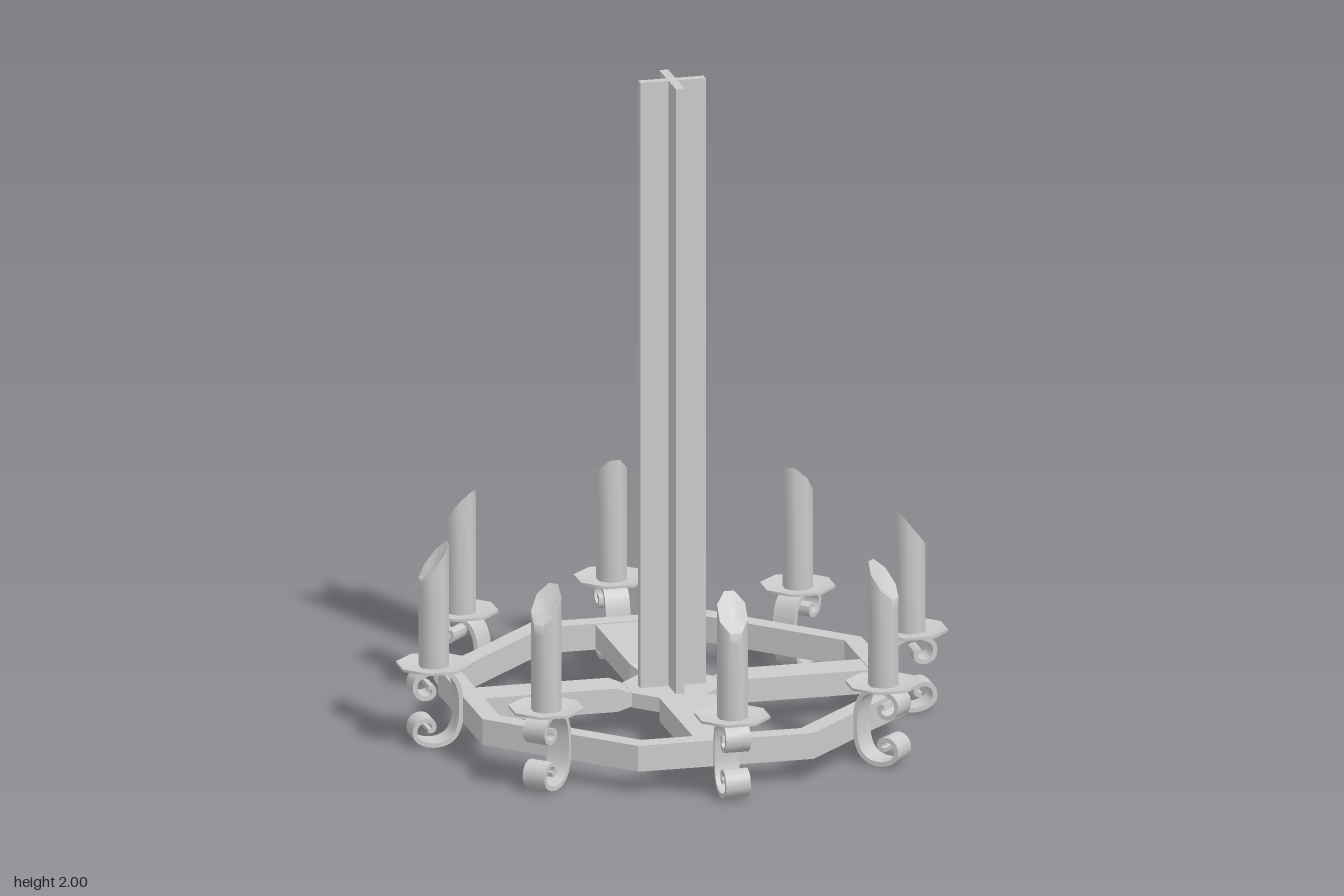
import * as THREE from 'three';
import { toCreasedNormals } from 'three/addons/utils/BufferGeometryUtils.js';

const smooth = new THREE.MeshStandardMaterial({ color: 0xcccccc, side: THREE.DoubleSide });
const flat = new THREE.MeshStandardMaterial({ color: 0xcccccc, flatShading: true });
const STEP = Math.PI / 4;

function add(parent, name, geometry, material = flat) {
  const mesh = new THREE.Mesh(geometry, material);
  mesh.name = name;
  parent.add(mesh);
  return mesh;
}

function octagon(radius) {
  return Array.from({ length: 8 }, (_, i) =>
    new THREE.Vector2(radius * Math.cos(i * STEP), radius * Math.sin(i * STEP)));
}

// Octagonal wheel rim, lying flat
function rimGeometry() {
  const shape = new THREE.Shape(octagon(0.7));
  shape.holes.push(new THREE.Path(octagon(0.637)));
  return new THREE.ExtrudeGeometry(shape, { depth: 0.08, bevelEnabled: false })
    .rotateX(-Math.PI / 2).translate(0, 0.07, 0);
}

// Spoke along +x that narrows and thins where it meets the hub
function spokeGeometry(width) {
  const sections = [ // radius, width, bottom, top
    [0.135, 0.11, 0.088, 0.128],
    [0.18, width, 0.075, 0.147],
    [0.6, width, 0.075, 0.147],
  ];
  const geometry = new THREE.BoxGeometry(2, 1, 1, 2, 1, 1);
  const p = geometry.attributes.position;
  for (let i = 0; i < p.count; i++) {
    const [r, w, low, high] = sections[Math.round(p.getX(i)) + 1];
    p.setXYZ(i, r, p.getY(i) > 0 ? high : low, p.getZ(i) * w);
  }
  return geometry;
}

// Iron strap bent into a C with a curl at each end, seen in the radius/height plane
function scrollGeometry() {
  const mid = 0.119, half = 0.007, width = 0.075;
  const upper = [
    [0.652, 0], [0.656, 0.05], [0.673, 0.09], [0.71, 0.111], [0.76, 0.108],
    [0.791, 0.085], [0.789, 0.05], [0.765, 0.034], [0.738, 0.042], [0.737, 0.064], [0.753, 0.067],
  ];
  const lower = upper.slice(1).reverse().map(([r, y]) => [r, -y]);
  const curve = new THREE.CatmullRomCurve3(
    [...lower, ...upper].map(([r, y]) => new THREE.Vector3(r, y + mid, 0)));
  const left = [], right = [], n = 56;
  for (let i = 0; i <= n; i++) {
    const c = curve.getPoint(i / n), t = curve.getTangent(i / n);
    left.push(new THREE.Vector2(c.x - t.y * half, c.y + t.x * half));
    right.push(new THREE.Vector2(c.x + t.y * half, c.y - t.x * half));
  }
  const shape = new THREE.Shape([...left, ...right.reverse()]);
  const geometry = new THREE.ExtrudeGeometry(shape, { depth: width, bevelEnabled: false });
  return toCreasedNormals(geometry.translate(0, 0, -width / 2), 0.7);
}

// Shallow eight-sided drip pan
function panGeometry() {
  const profile = [[0, 0.232], [0.07, 0.232], [0.113, 0.243], [0.113, 0.251], [0.075, 0.243], [0, 0.243]]
    .map(([r, y]) => new THREE.Vector2(r, y));
  return toCreasedNormals(new THREE.LatheGeometry(profile, 8, STEP / 2), 0.8);
}

// Candle whose melted top slopes up to a peak on the inner (-x) side
function candleGeometry() {
  const profile = [[0.046, 0.238], [0.046, 0.48], [0.046, 0.57], [0.022, 0.57], [0, 0.57]]
    .map(([r, y]) => new THREE.Vector2(r, y));
  const geometry = new THREE.LatheGeometry(profile, 8, STEP / 2);
  const p = geometry.attributes.position;
  for (let i = 0; i < p.count; i++) {
    if (p.getY(i) < 0.5) continue;
    const x = p.getX(i), z = p.getZ(i), r = Math.hypot(x, z);
    const slope = 0.567 - (x / 0.046) * 0.058;
    const dish = 0.018 * (1 - r / 0.046);
    p.setXYZ(i, x, slope - dish, x < -0.03 ? z * 0.85 : z);
  }
  return toCreasedNormals(geometry, 0.85);
}

export function createModel() {
  const model = new THREE.Group();
  model.name = 'chandelier';

  // Wheel
  add(model, 'rim', rimGeometry());
  add(model, 'hub', new THREE.CylinderGeometry(0.148, 0.148, 0.045, 8)
    .rotateY(Math.PI / 2).translate(0, 0.1075, 0));
  for (let i = 0; i < 4; i++) {
    const spoke = add(model, 'spoke', spokeGeometry(i % 2 ? 0.168 : 0.115));
    spoke.rotation.y = STEP * 1.5 + i * Math.PI / 2;
  }

  // Hanging post made of two crossed planks
  for (let i = 0; i < 2; i++) {
    const plank = add(model, 'postPlank', new THREE.BoxGeometry(0.2, 1.88, 0.027));
    plank.position.y = 1.06;
    plank.rotation.y = STEP * 1.5 + i * Math.PI / 2;
  }

  // Eight candle holders, one on each side of the rim
  const scroll = scrollGeometry(), pan = panGeometry(), candle = candleGeometry();
  for (let i = 0; i < 8; i++) {
    const holder = new THREE.Group();
    holder.name = 'candleHolder';
    holder.rotation.y = (i + 0.5) * STEP;
    add(holder, 'scrollBracket', scroll, smooth);
    add(holder, 'dripPan', pan, smooth).position.x = 0.727;
    add(holder, 'candle', candle, smooth).position.x = 0.727;
    model.add(holder);
  }
  return model;
}
